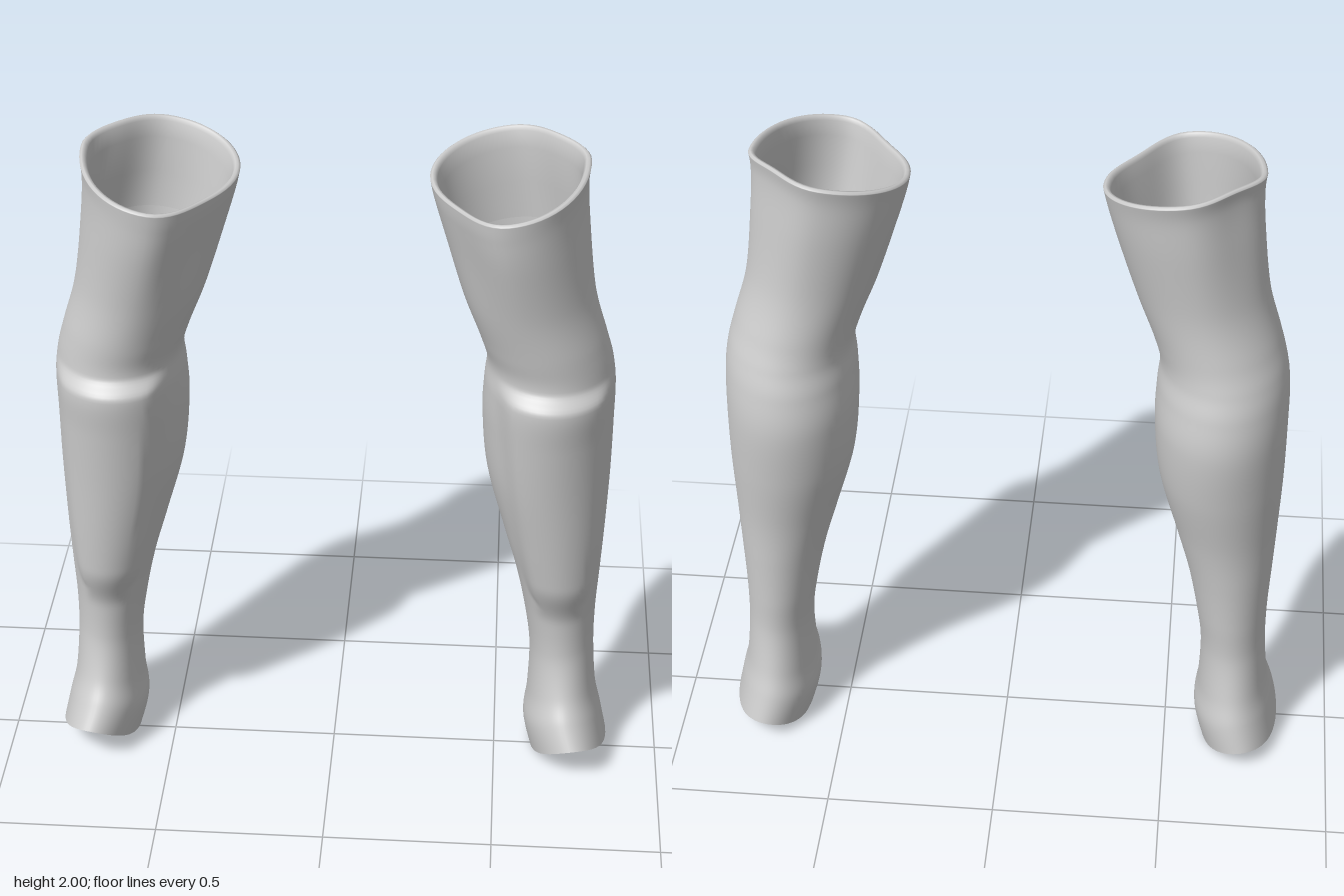
import * as THREE from 'three';

const SEGMENTS = 64;
const STEPS = 10; // rows between two key sections
const smooth = THREE.MathUtils.smoothstep;
const lerp = THREE.MathUtils.lerp;

// Key sections of the left leg, top to bottom: y, inner x, outer x, front z, back z
const SECTIONS = [
  [1.952, 0.262, 0.702, 0.278, -0.238],
  [1.90, 0.274, 0.698, 0.272, -0.228],
  [1.80, 0.302, 0.705, 0.258, -0.222],
  [1.60, 0.360, 0.732, 0.220, -0.208],
  [1.46, 0.412, 0.773, 0.202, -0.222],
  [1.38, 0.435, 0.795, 0.194, -0.240],
  [1.30, 0.430, 0.806, 0.203, -0.262],
  [1.18, 0.428, 0.808, 0.188, -0.275],
  [1.00, 0.447, 0.808, 0.165, -0.255],
  [0.80, 0.502, 0.802, 0.140, -0.220],
  [0.65, 0.545, 0.796, 0.120, -0.205],
  [0.50, 0.577, 0.790, 0.098, -0.195],
  [0.36, 0.597, 0.792, 0.096, -0.189],
  [0.20, 0.596, 0.805, 0.125, -0.210],
  [0.10, 0.588, 0.826, 0.165, -0.235],
  [0.00, 0.612, 0.846, 0.205, -0.255],
];

// Smooth section between the keys
function sectionAt(t) {
  const last = SECTIONS.length - 1;
  const i = Math.min(Math.floor(t), last - 1), f = t - i;
  const key = (k) => SECTIONS[Math.max(0, Math.min(last, k))];
  return SECTIONS[0].map((_, c) => {
    const p0 = key(i - 1)[c], p1 = key(i)[c], p2 = key(i + 1)[c], p3 = key(i + 2)[c];
    const m1 = (p2 - p0) / 2, m2 = (p3 - p1) / 2;
    return p1 + f * (m1 + f * (3 * (p2 - p1) - 2 * m1 - m2 + f * (2 * (p1 - p2) + m1 + m2)));
  });
}

// One point of the leg surface; inset moves it towards the axis
function legPoint([y, xi, xo, zf, zb], angle, inset) {
  const c = Math.cos(angle), s = Math.sin(angle);
  const thigh = smooth(y, 1.4, 1.9);
  const zMid = (zf + zb) / 2 - 0.05 * thigh;
  // the thigh opening is flattened on two opposite diagonals
  const flat = c * s < 0 ? 1 - 0.12 * thigh * Math.sin(2 * angle) ** 2 : 1;
  const x = (xi + xo) / 2 + ((xo - xi) / 2 - inset) * c * flat;
  let z = zMid + ((s > 0 ? zf - zMid : zMid - zb) - inset) * s * flat;

  // raised shin guard with a ledge below the knee
  if (s > 0) {
    const k = THREE.MathUtils.clamp((y - 0.6) / 0.7, 0, 1);
    const u = Math.abs(x - lerp(0.675, 0.635, k)) / lerp(0.075, 0.175, Math.sqrt(k));
    z += 0.032 * (1 - smooth(u, 0.7, 1)) * smooth(y, 0.52, 0.68) * (1 - smooth(y, 1.318, 1.365));
  }

  // slanted top edge and arched ankle edge
  const tilt = smooth(y, 1.45, 1.95) * (0.03 * c - 0.032 * s);
  const arch = 0.0225 + 0.0225 * c + 0.0325 * s + 0.07 * s * s;
  const lift = arch * Math.max(0, 1 - y / 0.4);
  return [x, Math.max(0, y + tilt + lift), z];
}

function legGeometry(side) {
  const rows = [];
  // lining and rounded rim of the opening
  for (const [y, inset] of [[1.70, 0.004], [1.80, 0.012], [1.90, 0.02], [1.945, 0.02], [1.956, 0.014], [1.957, 0.006]]) {
    const sec = sectionAt(y > 1.9 ? (1.952 - Math.min(y, 1.952)) / 0.052 : y > 1.8 ? 1 : y > 1.7 ? 2 : 2.5);
    sec[0] = y;
    rows.push([sec, inset]);
  }
  // outer wall
  const count = (SECTIONS.length - 1) * STEPS;
  for (let i = 0; i <= count; i++) rows.push([sectionAt(i / STEPS), 0]);

  const positions = [], indices = [];
  rows.forEach(([sec, inset], i) => {
    for (let j = 0; j < SEGMENTS; j++) {
      const [x, y, z] = legPoint(sec, (j / SEGMENTS) * Math.PI * 2, inset);
      positions.push(side * x, y, z);
      if (i === rows.length - 1) continue;
      const a = i * SEGMENTS + j, b = a + SEGMENTS;
      const c = i * SEGMENTS + ((j + 1) % SEGMENTS), d = c + SEGMENTS;
      if (side > 0) indices.push(a, c, b, c, d, b);
      else indices.push(a, b, c, c, b, d);
    }
  });
  const geometry = new THREE.BufferGeometry();
  geometry.setAttribute('position', new THREE.Float32BufferAttribute(positions, 3));
  geometry.setIndex(indices);
  geometry.computeVertexNormals();
  return geometry;
}

export function createModel() {
  const group = new THREE.Group();
  group.name = 'legArmour';
  const material = new THREE.MeshStandardMaterial({ color: 0xcccccc, side: THREE.DoubleSide });
  material.name = 'light grey';
  for (const [name, side] of [['leftLeg', 1], ['rightLeg', -1]]) {
    const leg = new THREE.Mesh(legGeometry(side), material);
    leg.name = name;
    group.add(leg);
  }
  return group;
}
